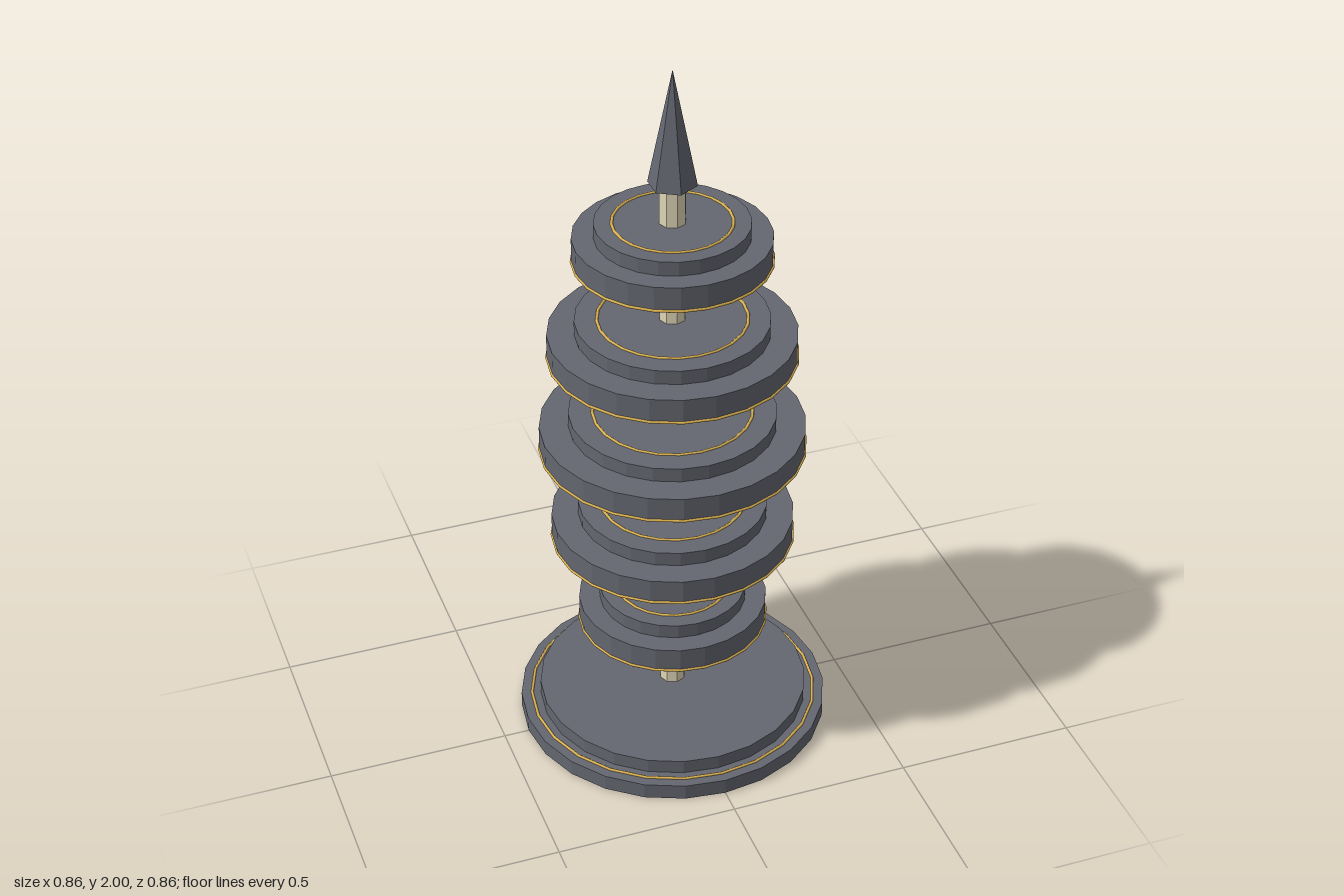
import * as THREE from 'three';

export function createModel() {
  const model = new THREE.Group();
  const material = (name, color, flatShading = false) => {
    const m = new THREE.MeshStandardMaterial({ color, flatShading });
    m.name = name;
    return m;
  };
  const slate = material('slate grey', 0x646770, true);
  const cream = material('cream', 0xe2d8b8, true);
  const gold = material('gold', 0xd9b050);
  const dark = material('dark iron', 0x2a2a2d);

  const add = (parent, name, geometry, mat, x, y, z) => {
    const mesh = new THREE.Mesh(geometry, mat);
    mesh.name = name;
    mesh.position.set(x, y, z);
    parent.add(mesh);
    return mesh;
  };
  // Upright cylinder from its bottom and top heights
  const disc = (parent, name, r, y0, y1, mat = slate, sides = 24) =>
    add(parent, name, new THREE.CylinderGeometry(r, r, y1 - y0, sides), mat, 0, (y0 + y1) / 2, 0);
  // Thin horizontal trim ring
  const ring = (parent, name, r, y, tube = 0.004, sides = 24) => {
    const geometry = new THREE.TorusGeometry(r, tube, 10, sides);
    geometry.rotateX(Math.PI / 2);
    return add(parent, name, geometry, gold, 0, y, 0);
  };

  // Stepped base
  const base = new THREE.Group();
  base.name = 'base';
  disc(base, 'baseDisc', 0.43, 0, 0.045);
  disc(base, 'baseStep', 0.375, 0.045, 0.085);
  ring(base, 'baseTrim', 0.4, 0.046);
  model.add(base);

  // Central pole and pointed finial
  disc(model, 'pole', 0.036, 0.085, 1.69, cream, 8);
  add(model, 'finial', new THREE.ConeGeometry(0.065, 0.32, 6), slate, 0, 1.84, 0);

  // Five stepped tiers, widest in the middle
  [0.26, 0.33, 0.357, 0.33, 0.26].forEach((r, i) => {
    const tier = new THREE.Group();
    tier.name = `tier${i + 1}`;
    tier.position.y = 0.312 + i * 0.2875;
    disc(tier, 'lowerDisc', r, 0, 0.068);
    disc(tier, 'upperDisc', r * 0.78, 0.068, 0.108);
    ring(tier, 'edgeTrim', r, 0, 0.004);
    ring(tier, 'topTrim', r * 0.6, 0.108, 0.004);
    model.add(tier);
  });

  // Small rod with gold coils at the back of the base
  const marker = new THREE.Group();
  marker.name = 'marker';
  marker.position.set(0.154, 0, -0.371);
  disc(marker, 'rod', 0.005, 0.045, 0.16, dark, 8);
  for (let i = 0; i < 4; i++) ring(marker, 'coil', 0.016, 0.062 + i * 0.014, 0.002, 12);
  model.add(marker);

  return model;
}
